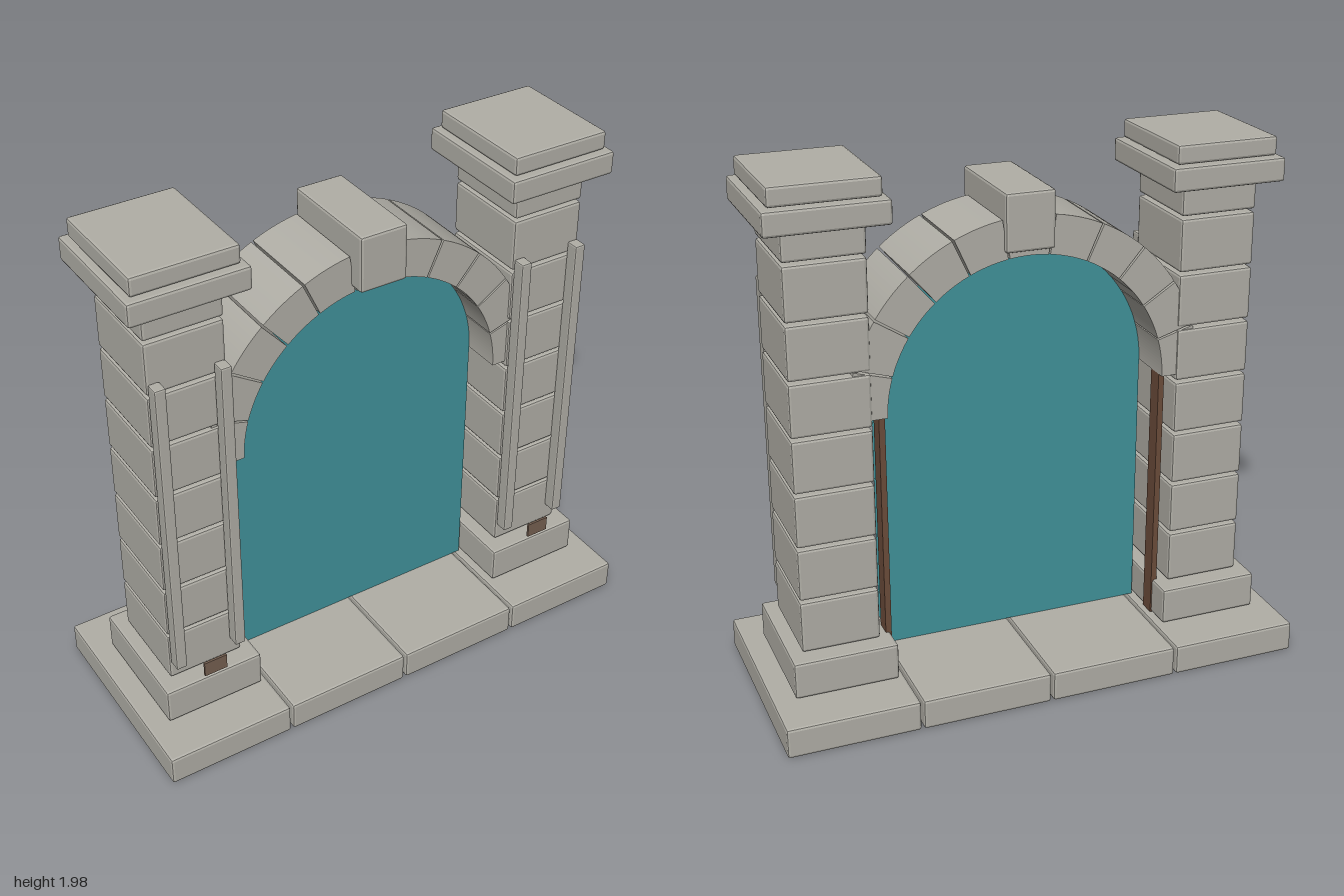
import * as THREE from 'three';
import { RoundedBoxGeometry } from 'three/addons/geometries/RoundedBoxGeometry.js';

const material = (name, color, side = THREE.FrontSide) => {
  const m = new THREE.MeshStandardMaterial({ color, side });
  m.name = name;
  return m;
};

export function createModel() {
  const stone = material('stone', 0xb0aea6);
  const teal = material('portalTeal', 0x40929a, THREE.DoubleSide);
  const brown = material('plateBrown', 0x745f50);
  const wood = material('jambBrown', 0x6b4c3a);

  const model = new THREE.Group();
  model.name = 'stoneArchway';

  const add = (parent, name, geometry, mat, x = 0, y = 0, z = 0) => {
    const mesh = new THREE.Mesh(geometry, mat);
    mesh.name = name;
    mesh.position.set(x, y, z);
    parent.add(mesh);
    return mesh;
  };

  // Chamfered stone block given by centre x, bottom and top, and z range
  const block = (parent, name, x, width, y0, y1, z0, z1, bevel = 0.01) => {
    const g = new RoundedBoxGeometry(width, y1 - y0, z1 - z0, 1, bevel);
    g.computeVertexNormals();
    return add(parent, name, g, stone, x, (y0 + y1) / 2, (z0 + z1) / 2);
  };

  // Floor slabs
  for (let i = 0; i < 4; i++) {
    block(model, 'floorSlab', -0.75 + i * 0.5, 0.49, 0, 0.115, -0.415, 0.41);
  }

  // Pillars, one on each side
  for (const side of [-1, 1]) {
    const pillar = new THREE.Group();
    pillar.name = side > 0 ? 'leftPillar' : 'rightPillar';
    model.add(pillar);
    const x = side * 0.722;

    block(pillar, 'plinth', x, 0.386, 0.12, 0.26, -0.242, 0.242);
    for (let i = 0; i < 8; i++) {
      const y = 0.265 + i * 0.2065;
      block(pillar, 'pillarBlock', x, 0.29, y, Math.min(y + 0.196, 1.83), -0.178, 0.178);
    }
    block(pillar, 'lowerCap', x, 0.434, 1.82, 1.907, -0.247, 0.247);
    block(pillar, 'upperCap', x, 0.386, 1.91, 1.98, -0.222, 0.222);

    // Raised strips on the front, and the small plate low down
    for (const edge of [-1, 1]) {
      block(pillar, 'frontStrip', x + edge * 0.119, 0.042, 0.34, 1.55, 0.178, 0.228, 0.006);
    }
    add(pillar, 'frontPlate', new THREE.BoxGeometry(0.09, 0.06, 0.009), brown, x + side * 0.002, 0.32, 0.256);

    // Thin jamb beside the opening
    add(model, 'jamb', new THREE.BoxGeometry(0.022, 1.0, 0.062), wood, side * 0.535, 0.62, -0.112);
  }

  // Arch of eleven wedge stones
  const cy = 1.115, inner = 0.522, outer = 0.664, count = 11, gap = 0.006;
  for (let i = 0; i < count; i++) {
    const a0 = (i * Math.PI) / count + (i === 0 ? 0 : gap);
    const a1 = ((i + 1) * Math.PI) / count - (i === count - 1 ? 0 : gap);
    const wedge = new THREE.Shape();
    wedge.absarc(0, 0, outer, a0, a1, false);
    wedge.absarc(0, 0, inner, a1, a0, true);
    const g = new THREE.ExtrudeGeometry(wedge, { depth: 0.34, bevelEnabled: false, curveSegments: 6 });
    add(model, 'archStone', g, stone, 0, cy, -0.172);
  }
  block(model, 'keystone', 0, 0.183, 1.655, 1.865, -0.187, 0.226);

  // Portal sheet filling the opening
  const portal = new THREE.Shape();
  portal.moveTo(-0.522, 0.118);
  portal.lineTo(0.522, 0.118);
  portal.lineTo(0.522, cy);
  portal.absarc(0, cy, 0.522, 0, Math.PI, false);
  portal.closePath();
  add(model, 'portalSheet', new THREE.ShapeGeometry(portal, 48), teal, 0, 0, 0.02);

  return model;
}
